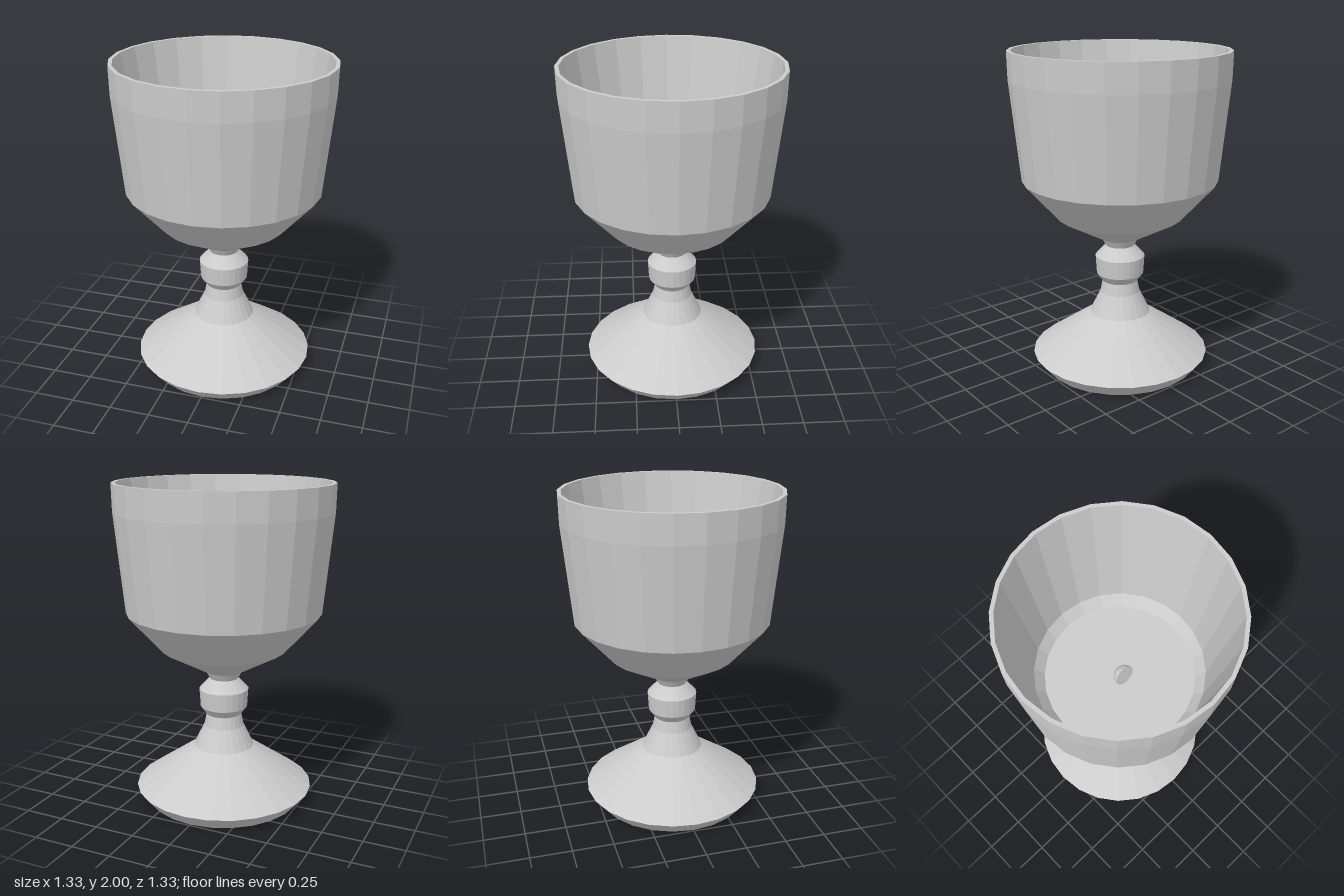
import * as THREE from 'three';

const SIDES = 24;
const material = new THREE.MeshStandardMaterial({ color: 0xcccccc, flatShading: true });

// Turned part from [radius, height] pairs, listed so the surface faces outward
function turned(name, profile) {
  const points = profile.map(([r, y]) => new THREE.Vector2(r, y));
  const mesh = new THREE.Mesh(new THREE.LatheGeometry(points, SIDES), material);
  mesh.name = name;
  return mesh;
}

export function createModel() {
  const goblet = new THREE.Group();
  goblet.name = 'goblet';
  const floorY = 1.13;

  // Flared foot with undercut rim, rising into the lower stem
  goblet.add(turned('foot', [[0, 0], [0.49, 0], [0.56, 0.085], [0.19, 0.345], [0.125, 0.48], [0.11, 0.555]]));

  // Collar around the stem
  goblet.add(turned('stemKnob', [[0.11, 0.555], [0.148, 0.605], [0.155, 0.72], [0.09, 0.79]]));

  // Bowl: outer wall, rim, inner wall and flat floor
  goblet.add(turned('bowl', [
    [0.09, 0.79], [0.115, 0.835], [0.39, 0.985], [0.6, 1.22], [0.66, 1.83], [0.663, 2],
    [0.64, 2], [0.515, 1.2], [0.457, floorY], [0, floorY],
  ]));

  // Small half ball on the bowl floor, flat side to the front and tilted slightly up
  const bead = new THREE.Group();
  bead.name = 'bead';
  const radius = 0.066;
  const dome = new THREE.Mesh(
    new THREE.SphereGeometry(radius, 16, 6, 0, Math.PI * 2, 0, Math.PI / 2), material);
  dome.name = 'beadDome';
  dome.rotation.x = -Math.PI / 2;
  const face = new THREE.Mesh(new THREE.CircleGeometry(radius, 16), material);
  face.name = 'beadFace';
  bead.add(dome, face);
  bead.rotation.x = -0.27;
  bead.position.set(0, floorY + radius, 0.042);
  goblet.add(bead);

  return goblet;
}
